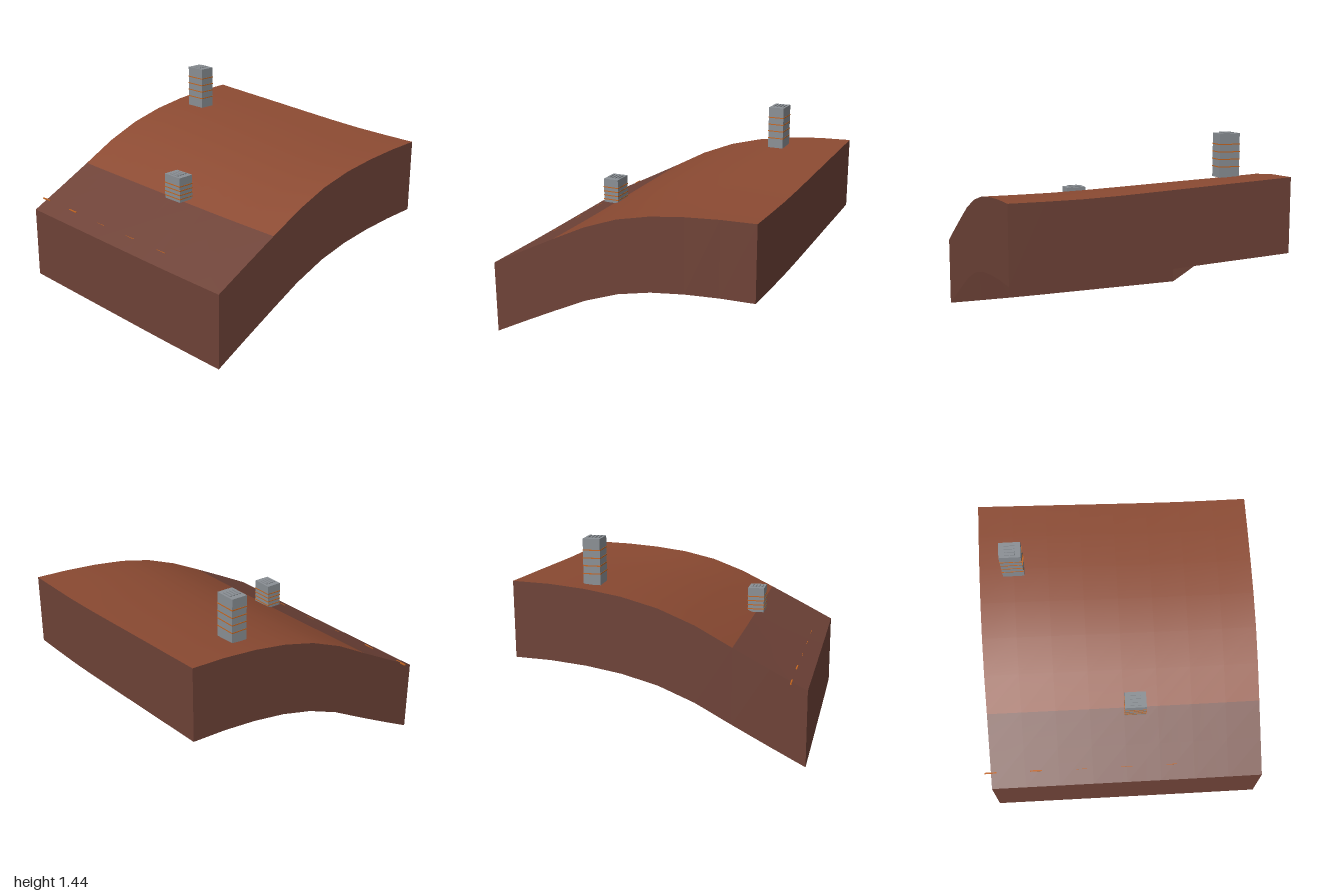
import * as THREE from 'three';

const material = (name, color, side = THREE.FrontSide) => {
  const m = new THREE.MeshStandardMaterial({ color, side });
  m.name = name;
  return m;
};

// Terrain heights: front and back edge profiles, blended along z
const N = 8, X0 = -0.975, X1 = 0.975, Z0 = 1, Z1 = -0.955, SKIRT = 0.52;
const FRONT = [0.52, 0.645, 0.767, 0.885, 0.975, 1.03, 1.06, 1.077, 1.084];
const BACK = [0.545, 0.67, 0.798, 0.93, 1.03, 1.095, 1.135, 1.158, 1.166];
const BLEND = [0, 0.01, 0.05, 0.17, 0.33, 0.5, 0.67, 0.83, 1];

const gridPoint = (i, j) => [
  X0 + ((X1 - X0) * i) / N,
  FRONT[i] + (BACK[i] - FRONT[i]) * BLEND[j],
  Z0 + ((Z1 - Z0) * j) / N,
];

function surfaceGeometry() {
  const pos = [], low = [], high = [];
  for (let j = 0; j <= N; j++) for (let i = 0; i <= N; i++) pos.push(...gridPoint(i, j));
  for (let j = 0; j < N; j++) {
    for (let i = 0; i < N; i++) {
      const a = j * (N + 1) + i, c = a + N + 1;
      (i < 2 ? low : high).push(a, a + 1, c, a + 1, c + 1, c);
    }
  }
  const g = new THREE.BufferGeometry();
  g.setAttribute('position', new THREE.Float32BufferAttribute(pos, 3));
  g.setIndex([...low, ...high]);
  g.addGroup(0, low.length, 0);
  g.addGroup(low.length, high.length, 1);
  g.computeVertexNormals();
  return g;
}

function skirtGeometry() {
  // Walk the rim anticlockwise seen from above
  const rim = [];
  for (let k = 0; k < N; k++) rim.push(gridPoint(k, 0));
  for (let k = 0; k < N; k++) rim.push(gridPoint(N, k));
  for (let k = N; k > 0; k--) rim.push(gridPoint(k, N));
  for (let k = N; k > 0; k--) rim.push(gridPoint(0, k));
  const pos = [];
  rim.forEach((p, k) => {
    const q = rim[(k + 1) % rim.length];
    const pb = [p[0], p[1] - SKIRT, p[2]], qb = [q[0], q[1] - SKIRT, q[2]];
    pos.push(...pb, ...qb, ...q, ...pb, ...q, ...p);
  });
  const g = new THREE.BufferGeometry();
  g.setAttribute('position', new THREE.Float32BufferAttribute(pos, 3));
  g.computeVertexNormals();
  return g;
}

export function createModel() {
  const model = new THREE.Group();
  model.name = 'hillsideWithTowers';
  const soil = material('redSoil', 0x8b4a32, THREE.DoubleSide);
  const rock = material('brownRock', 0x6e4237, THREE.DoubleSide);
  const concrete = material('greyConcrete', 0x8a8f94);
  const orange = material('orangeTrim', 0xc4651f);

  const add = (parent, name, geometry, mat) => {
    const mesh = new THREE.Mesh(geometry, mat);
    mesh.name = name;
    parent.add(mesh);
    return mesh;
  };
  const box = (parent, name, mat, w, h, d, x, y, z) =>
    add(parent, name, new THREE.BoxGeometry(w, h, d), mat).position.set(x, y, z);

  // Curved ground, open underneath, with a rock skirt
  add(model, 'ground', surfaceGeometry(), [rock, soil]);
  add(model, 'skirt', skirtGeometry(), rock);

  // Towers with thin floor bands and low roof bars
  const W = 0.116, D = 0.152;
  const tower = (name, x, z, bottom, top, bands) => {
    const g = new THREE.Group();
    g.name = name;
    g.position.set(x, 0, z);
    model.add(g);
    box(g, 'towerBody', concrete, W, top - bottom, D, 0, (top + bottom) / 2, 0);
    for (const y of bands) box(g, 'floorBand', orange, W + 0.004, 0.007, D + 0.004, 0, y, 0);
    for (let k = 0; k < 4; k++)
      box(g, 'roofBar', concrete, 0.014, 0.007, 0.075, (k - 1.5) * 0.024, top + 0.0035, 0);
  };
  tower('lowerTower', -0.492, 0.104, 0.79, 0.968, [0.813, 0.843, 0.874, 0.905]);
  tower('upperTower', 0.487, -0.711, 1.125, 1.434, [1.2, 1.253, 1.305, 1.358]);

  // Row of line markers just beneath the lower slope
  for (let k = 0; k < 6; k++) {
    const y = 0.567 + 0.03 * BLEND[Math.min(N, Math.round(1.3 + k * 1.34))];
    box(model, 'lineMarker', orange, 0.009, 0.009, 0.085, -0.87, y, 0.672 - k * 0.326);
  }
  return model;
}
